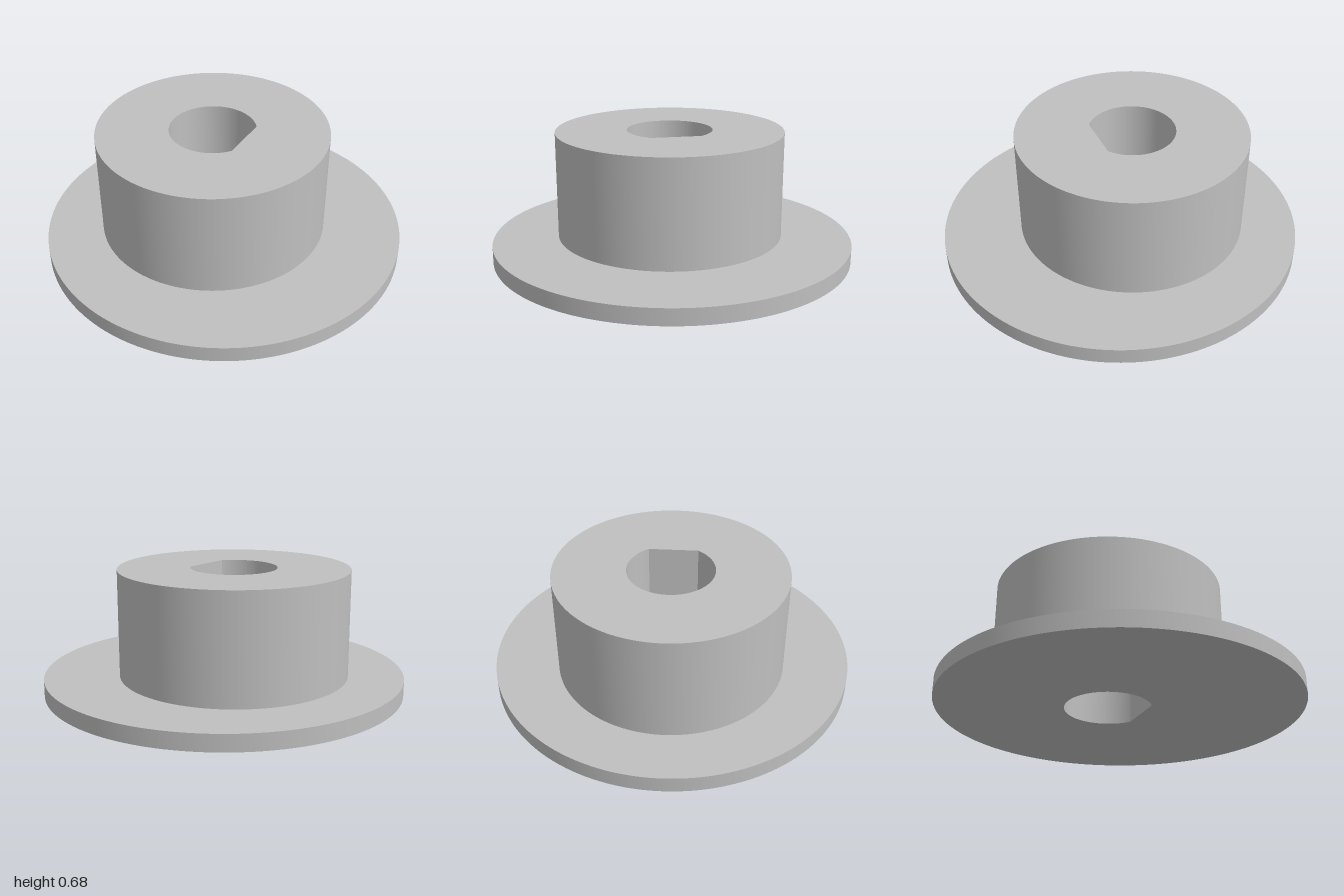
import * as THREE from 'three';
import { toCreasedNormals } from 'three/addons/utils/BufferGeometryUtils.js';

const AXIS_X = -0.07; // the hub and bore sit off the flange centre
const BORE_RADIUS = 0.238;
const BORE_FLAT = 0.195; // distance from the bore axis to its flat side
const FLANGE_TOP = 0.09;
const HUB_TOP = 0.683;

// D-shaped shaft hole: an arc closed by a straight chord on +x
function boreOutline() {
  const a = Math.acos(BORE_FLAT / BORE_RADIUS);
  const hole = new THREE.Path();
  hole.absarc(AXIS_X, 0, BORE_RADIUS, a, Math.PI * 2 - a, false);
  hole.closePath();
  return hole;
}

// Upright disc pierced by the bore
function boredDisc(name, centreX, radius, bottom, top, material) {
  const shape = new THREE.Shape();
  shape.absarc(centreX, 0, radius, 0, Math.PI * 2, false);
  shape.holes.push(boreOutline());
  const extruded = new THREE.ExtrudeGeometry(shape, {
    depth: top - bottom,
    bevelEnabled: false,
    curveSegments: 96,
  });
  extruded.rotateX(-Math.PI / 2);
  extruded.translate(0, bottom, 0);
  const mesh = new THREE.Mesh(toCreasedNormals(extruded, Math.PI / 6), material);
  mesh.name = name;
  return mesh;
}

export function createModel() {
  const grey = new THREE.MeshStandardMaterial({ color: 0xbfbfbf });
  grey.name = 'light grey';

  const group = new THREE.Group();
  group.name = 'flangedBushing';
  group.add(
    boredDisc('flange', 0, 1, 0, FLANGE_TOP, grey),
    boredDisc('hub', AXIS_X, 0.635, FLANGE_TOP, HUB_TOP, grey),
  );
  return group;
}
